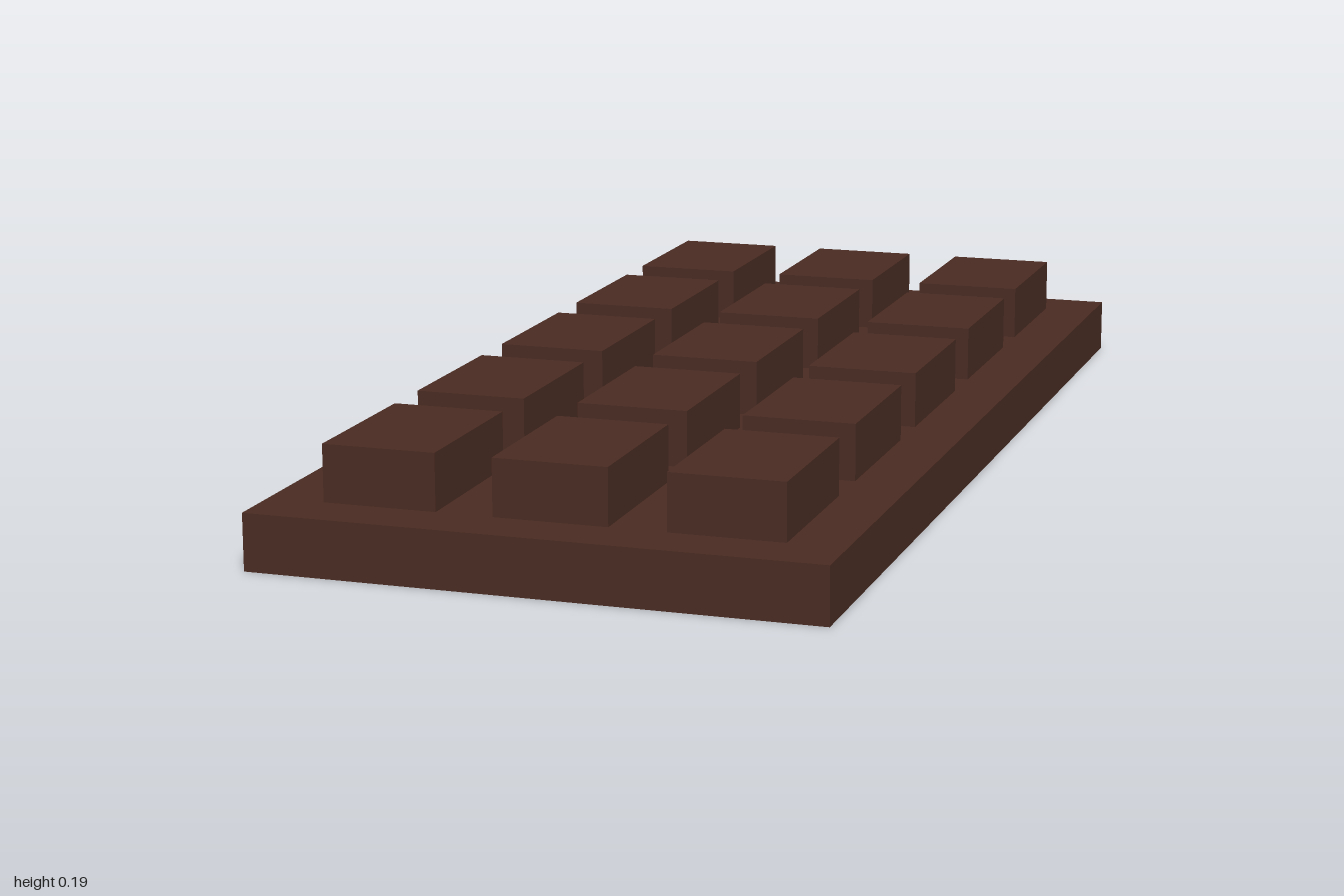
import * as THREE from 'three';

export function createModel() {
  const unit = 2 / 21; // the slab is 10 x 1 x 21 units
  const chocolate = new THREE.MeshStandardMaterial({ color: 0x4a2c23 });
  chocolate.name = 'chocolate brown';

  const bar = new THREE.Group();
  bar.name = 'chocolateBar';

  // Flat slab under the segments
  const slab = new THREE.Mesh(new THREE.BoxGeometry(10 * unit, unit, 21 * unit), chocolate);
  slab.name = 'slab';
  slab.position.y = unit / 2;
  bar.add(slab);

  // Raised segments, 3 columns by 5 rows with a one-unit gap
  const segments = new THREE.Group();
  segments.name = 'segments';
  const segmentGeometry = new THREE.BoxGeometry(2 * unit, unit, 3 * unit);
  for (let row = -2; row <= 2; row++) {
    for (let column = -1; column <= 1; column++) {
      const segment = new THREE.Mesh(segmentGeometry, chocolate);
      segment.name = 'segment';
      segment.position.set(column * 3 * unit, 1.5 * unit, row * 4 * unit);
      segments.add(segment);
    }
  }
  bar.add(segments);

  return bar;
}
